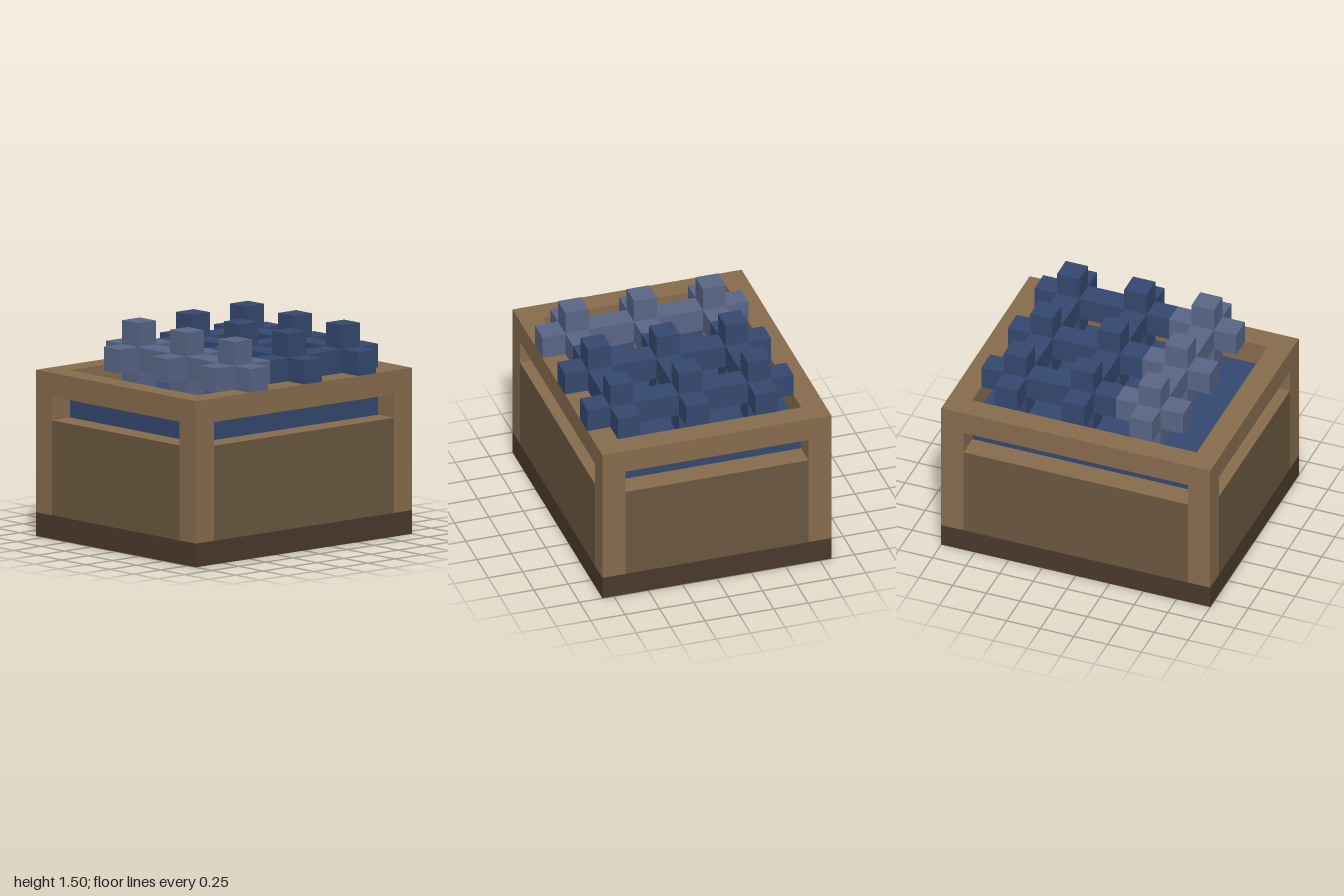
import * as THREE from 'three';
import { mergeGeometries } from 'three/addons/utils/BufferGeometryUtils.js';

const U = 1 / 6; // one block of the modelling grid

const paint = (color) => new THREE.MeshStandardMaterial({ color, flatShading: true });

// Box measured in blocks: size, then centre
function block(w, h, d, x, y, z) {
  return new THREE.BoxGeometry(w * U, h * U, d * U).translate(x * U, y * U, z * U);
}

export function createModel() {
  const model = new THREE.Group();
  model.name = 'berryCrate';
  const wood = paint(0x876c4d);
  const panelWood = paint(0x6b5740);
  const darkWood = paint(0x4b392d);
  const blue = paint(0x34486f);
  const paleBlue = paint(0x5a6586);

  const add = (name, geometry, material) => {
    const mesh = new THREE.Mesh(geometry, material);
    mesh.name = name;
    model.add(mesh);
    return mesh;
  };

  // Dark plinth
  add('base', block(12, 1, 10, 0, 0.5, 0), darkWood);

  // Corner posts
  for (const sx of [-1, 1]) {
    for (const sz of [-1, 1]) {
      add('cornerPost', block(1, 5, 1, sx * 5.5, 3.5, sz * 4.5), wood);
    }
  }

  // Side panels, leaving an open slot below the rim
  for (const s of [-1, 1]) {
    add(s > 0 ? 'frontPanel' : 'backPanel', block(10, 4, 1, 0, 3, s * 4.5), panelWood);
    add(s > 0 ? 'leftPanel' : 'rightPanel', block(1, 4, 8, s * 5.5, 3, 0), panelWood);
    // Ledges of the slots are in the lighter wood
    const ledges = [[10, 1, 0, s * 4.5], [1, 8, s * 5.5, 0]];
    for (const [w, d, x, z] of ledges) {
      const ledge = new THREE.PlaneGeometry(w * U, d * U).rotateX(-Math.PI / 2);
      add('slotLedge', ledge.translate(x * U, 5 * U + 0.001, z * U), wood);
    }
  }

  // Top rim: rectangular frame
  const rim = new THREE.Shape();
  rim.moveTo(-6 * U, -5 * U).lineTo(6 * U, -5 * U).lineTo(6 * U, 5 * U).lineTo(-6 * U, 5 * U);
  const opening = new THREE.Path();
  opening.moveTo(-5 * U, -4 * U).lineTo(-5 * U, 4 * U).lineTo(5 * U, 4 * U).lineTo(5 * U, -4 * U);
  rim.holes.push(opening);
  const rimGeometry = new THREE.ExtrudeGeometry(rim, { depth: U, bevelEnabled: false });
  add('topRim', rimGeometry.rotateX(-Math.PI / 2).translate(0, 6 * U, 0), wood);

  // Berry filling, seen through the slots
  add('filling', block(10, 5, 8, 0, 3.5, 0), blue);

  // Berries: a three-way cross of blocks, in a 3 x 3 grid
  const berry = mergeGeometries([
    block(1, 3, 1, 0, 0, 0),
    block(1, 1, 1, -1, 0, 0),
    block(1, 1, 1, 1, 0, 0),
    block(1, 1, 1, 0, 0, -1),
    block(1, 1, 1, 0, 0, 1),
  ]);
  for (let col = 0; col < 3; col++) {
    for (let row = 0; row < 3; row++) {
      const mesh = add('berry', berry, col === 0 ? paleBlue : blue);
      mesh.position.set((-2.5 + 3 * col) * U, 7.5 * U, (-2.5 + 3 * row) * U);
    }
  }

  return model;
}
